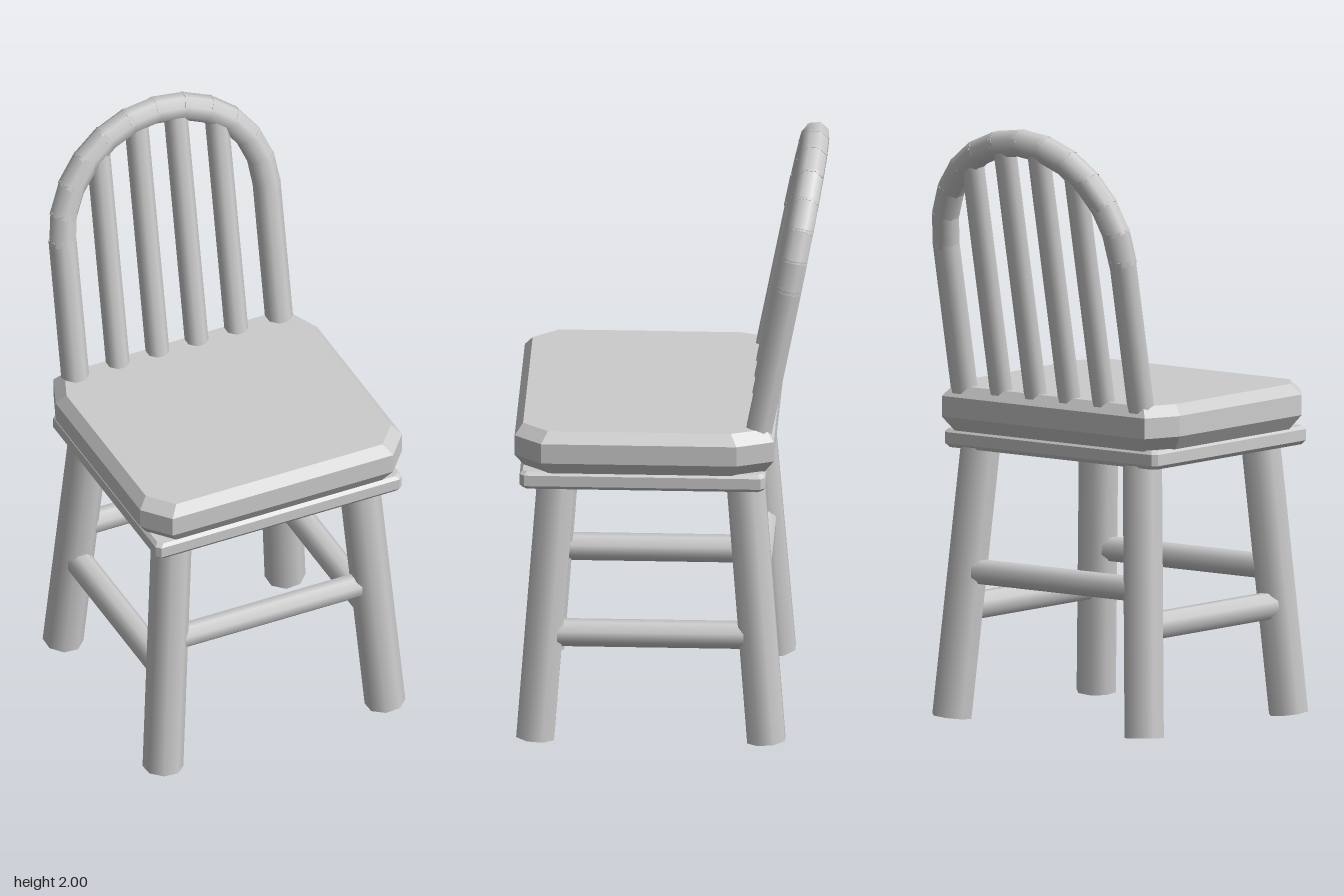
import * as THREE from 'three';

const wood = new THREE.MeshStandardMaterial({ color: 0xcccccc });
wood.name = 'plain wood';

// Eight-sided rod between two points
function rod(name, from, to, r) {
  const axis = new THREE.Vector3().subVectors(to, from);
  const geometry = new THREE.CylinderGeometry(r, r, axis.length(), 8);
  geometry.rotateY(Math.PI / 8);
  const mesh = new THREE.Mesh(geometry, wood);
  mesh.name = name;
  mesh.position.addVectors(from, to).multiplyScalar(0.5);
  mesh.quaternion.setFromUnitVectors(new THREE.Vector3(0, 1, 0), axis.normalize());
  return mesh;
}

// Flat-faced slab: an outline scaled about its middle at each [height, scale]
function slab(name, half, levels) {
  const outline = [...half, ...half.map(([x, z]) => [-x, z]).reverse()];
  const zs = outline.map((p) => p[1]);
  const mid = (Math.min(...zs) + Math.max(...zs)) / 2;
  const n = outline.length;
  const positions = [];
  const index = [];
  levels.forEach(([y, s]) => {
    outline.forEach(([x, z]) => positions.push(x * s, y, mid + (z - mid) * s));
  });
  for (let l = 0; l < levels.length - 1; l++) {
    for (let i = 0; i < n; i++) {
      const a = l * n + i;
      const b = l * n + (i + 1) % n;
      index.push(a, a + n, b + n, a, b + n, b);
    }
  }
  const top = (levels.length - 1) * n;
  for (let i = 1; i < n - 1; i++) {
    index.push(0, i, i + 1, top, top + i + 1, top + i);
  }
  const indexed = new THREE.BufferGeometry();
  indexed.setAttribute('position', new THREE.Float32BufferAttribute(positions, 3));
  indexed.setIndex(index);
  const geometry = indexed.toNonIndexed();
  geometry.computeVertexNormals();
  const mesh = new THREE.Mesh(geometry, wood);
  mesh.name = name;
  return mesh;
}

// Point on the reclined plane of the backrest
const back = (x, y) => new THREE.Vector3(x, y, -0.292 - 0.195 * (y - 1.1));

export function createModel() {
  const chair = new THREE.Group();
  chair.name = 'chair';
  const v = (x, y, z) => new THREE.Vector3(x, y, z);

  // Seat with cut corners, on a thinner square frame
  chair.add(
    slab('seat', [[0.425, -0.34], [0.475, -0.22], [0.475, 0.42], [0.4, 0.51]],
      [[0.953, 0.93], [1.0, 1], [1.068, 1], [1.103, 0.937]]),
    slab('seatFrame', [[0.432, -0.312], [0.447, -0.297], [0.447, 0.477], [0.432, 0.492]],
      [[0.895, 0.975], [0.908, 1], [0.945, 1], [0.956, 0.975]])
  );

  // Splayed legs
  for (const [side, sx] of [['left', 1], ['right', -1]]) {
    chair.add(
      rod(side + 'FrontLeg', v(sx * 0.403, 0.008, 0.442), v(sx * 0.338, 0.92, 0.374), 0.067),
      rod(side + 'BackLeg', v(sx * 0.403, 0.008, -0.315), v(sx * 0.338, 0.92, -0.243), 0.067),
      rod(side + 'Stretcher', v(sx * 0.377, 0.367, 0.415), v(sx * 0.377, 0.367, -0.285), 0.046)
    );
  }
  chair.add(
    rod('frontStretcher', v(-0.368, 0.49, 0.406), v(0.368, 0.49, 0.406), 0.042),
    rod('backStretcher', v(-0.368, 0.49, -0.278), v(0.368, 0.49, -0.278), 0.042)
  );

  // Bow: two straight posts and an arch of short overlapping rods
  const bow = new THREE.Group();
  bow.name = 'backBow';
  const R = 0.37;
  const springY = 1.585;
  const segments = 12;
  for (const sx of [1, -1]) {
    bow.add(rod('bowPost', back(sx * R, 1.03), back(sx * R, springY + 0.01), 0.046));
  }
  for (let i = 0; i < segments; i++) {
    const [p, q] = [i, i + 1].map((k) => {
      const t = (k / segments) * Math.PI;
      return back(R * Math.cos(t), springY + R * Math.sin(t));
    });
    const overlap = q.clone().sub(p).multiplyScalar(0.1);
    bow.add(rod('bowSegment', p.sub(overlap), q.add(overlap), 0.046));
  }
  chair.add(bow);

  // Spindles
  for (const x of [-0.215, -0.071, 0.071, 0.215]) {
    const top = springY + Math.sqrt(R * R - x * x) - 0.01;
    chair.add(rod('spindle', back(x, 1.06), back(x, top), 0.039));
  }
  return chair;
}
